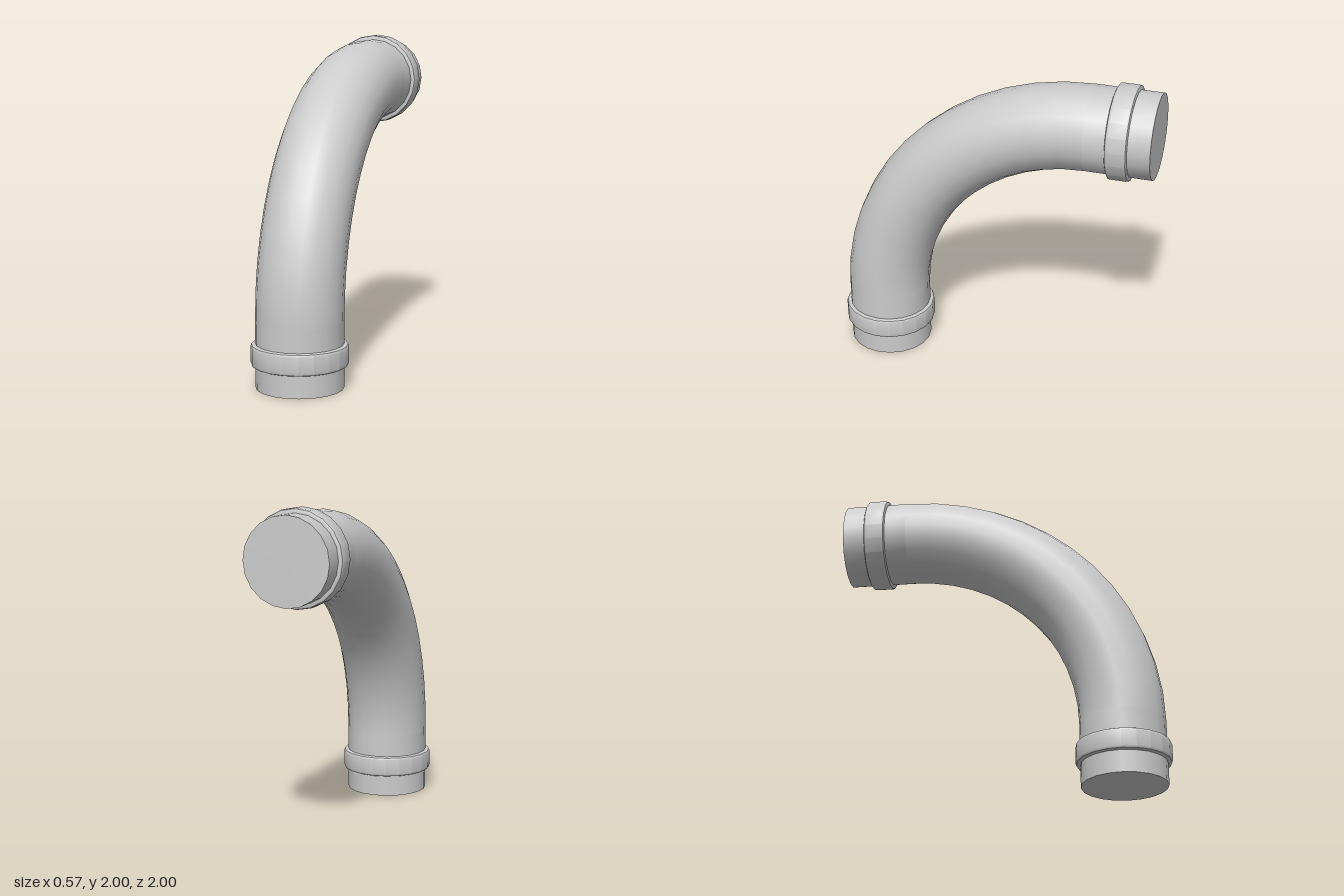
import * as THREE from 'three';
import { toCreasedNormals } from 'three/addons/utils/BufferGeometryUtils.js';

const SIDES = 20;
const PIPE_R = 0.26;      // pipe radius
const COLLAR_R = 0.2875;  // collar radius
const STRAIGHT = 0.4;     // straight run at each end
const AXIS = 0.7125;      // z of the lower opening's axis
const BEND_R = 1.3125;    // bend radius along the centre line

const material = new THREE.MeshStandardMaterial({ color: 0xcccccc });

// Turned part with sharp profile corners, smooth around the axis
function lathe(name, profile) {
  const points = profile.map(([x, y]) => new THREE.Vector2(x, y));
  const mesh = new THREE.Mesh(toCreasedNormals(new THREE.LatheGeometry(points, SIDES), 0.5), material);
  mesh.name = name;
  return mesh;
}

// Straight closed pipe end with its raised collar, opening at y = 0
function pipeEnd(name) {
  const end = new THREE.Group();
  end.name = name;
  end.add(lathe('straightPipe', [[0, 0], [PIPE_R, 0], [PIPE_R, STRAIGHT]]));

  // Collar band with softly bevelled rims
  const low = 0.135, high = 0.265, b = 0.016, inner = PIPE_R - 0.01;
  end.add(lathe('collar', [
    [inner, low], [COLLAR_R - b, low], [COLLAR_R - b * 0.3, low + b * 0.3], [COLLAR_R, low + b],
    [COLLAR_R, high - b], [COLLAR_R - b * 0.3, high - b * 0.3], [COLLAR_R - b, high], [inner, high],
  ]));
  return end;
}

export function createModel() {
  const model = new THREE.Group();
  model.name = 'pipeElbow';

  // Quarter bend from upright to pointing backward
  const bendGeometry = new THREE.TorusGeometry(BEND_R, PIPE_R, SIDES, 13, Math.PI / 2);
  bendGeometry.rotateY(-Math.PI / 2);
  const bend = new THREE.Mesh(bendGeometry, material);
  bend.name = 'bend';
  bend.position.set(0, STRAIGHT, AXIS - BEND_R);
  model.add(bend);

  // Lower end stands on the floor
  const lower = pipeEnd('lowerEnd');
  lower.position.z = AXIS;
  model.add(lower);

  // Upper end opens toward the back
  const upper = pipeEnd('upperEnd');
  upper.position.set(0, STRAIGHT + BEND_R, -1);
  upper.rotation.x = Math.PI / 2;
  model.add(upper);

  return model;
}
